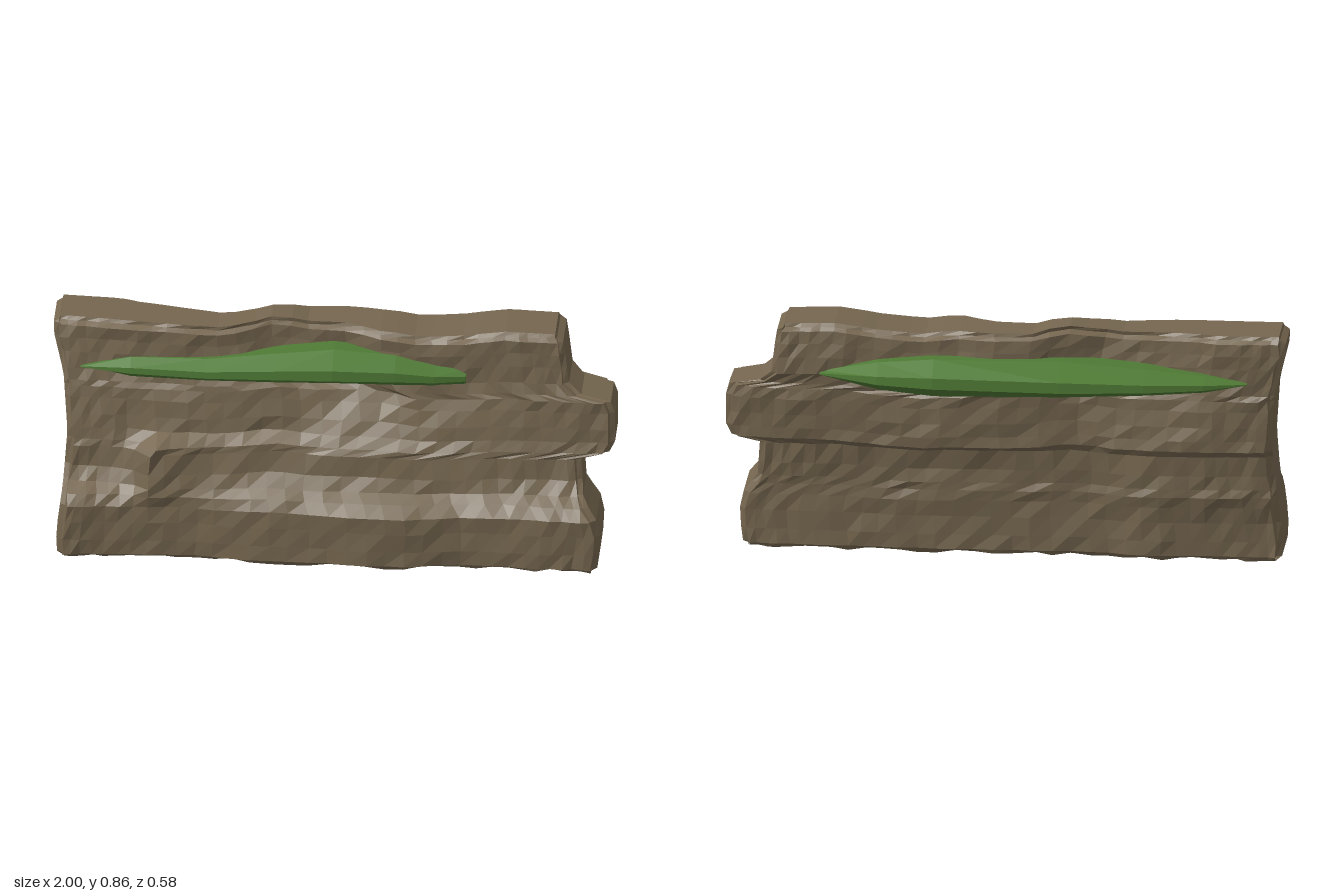
import * as THREE from 'three';

const rock = new THREE.MeshStandardMaterial({ color: 0x75664f, flatShading: true });
rock.name = 'brown rock';
const moss = new THREE.MeshStandardMaterial({ color: 0x4f7a35, flatShading: true });
moss.name = 'green grass';

// Depth of the rock face per height, at these stations from end to end
const STATIONS = [-1, -.74, -.67, -.5, -.3, -.15, 0, .17, .28, .5, .75, 1];
const FRONT = [
  [0.00, [.225, .21, .21, .205, .24, .25, .255, .28, .275, .24, .265, .27]],
  [0.21, [.235, .215, .215, .21, .245, .255, .26, .29, .28, .25, .27, .285]],
  [0.25, [.21, .20, .225, .21, .22, .23, .23, .25, .24, .22, .23, .255]],
  [0.28, [.15, .17, .225, .20, .19, .20, .20, .20, .20, .19, .20, .21]],
  [0.33, [.13, .15, .225, .19, .17, .16, .17, .18, .18, .18, .18, .175]],
  [0.43, [.13, .13, .225, .17, .15, .14, .16, .17, .17, .17, .17, .16]],
  [0.47, [.125, .115, .14, .13, .11, .11, .13, .14, .15, .16, .16, .16]],
  [0.62, [.10, .10, .105, .11, .10, .07, .05, .06, .11, .13, .15, .16]],
  [0.66, [.085, .08, .08, .09, .085, .04, .02, .03, .10, .115, .13, .135]],
  [0.86, [.05, .075, .08, .09, .085, .03, .015, .03, .105, .12, .13, .13]],
];
const BACK = [
  [0.00, [-.09, -.09, -.09, -.10, -.06, -.06, -.06, -.06, -.06, -.05, -.04, -.035]],
  [0.18, [-.09, -.10, -.10, -.11, -.07, -.07, -.07, -.07, -.07, -.06, -.05, -.04]],
  [0.23, [-.11, -.125, -.125, -.12, -.08, -.075, -.075, -.075, -.07, -.06, -.05, -.045]],
  [0.40, [-.12, -.13, -.13, -.12, -.085, -.085, -.08, -.08, -.075, -.07, -.07, -.06]],
  [0.43, [-.16, -.16, -.16, -.13, -.10, -.13, -.145, -.155, -.14, -.12, -.10, -.07]],
  [0.62, [-.17, -.17, -.15, -.12, -.09, -.13, -.15, -.165, -.15, -.13, -.13, -.08]],
  [0.68, [-.175, -.165, -.145, -.115, -.08, -.12, -.155, -.17, -.15, -.14, -.14, -.135]],
  [0.86, [-.19, -.18, -.15, -.115, -.08, -.11, -.158, -.17, -.15, -.14, -.14, -.135]],
];
// Ends as [height, x], and top edge as [x, height]
const LEFT_END = [[0, -.975], [.1, -.98], [.25, -.96], [.45, -.945], [.65, -.96], [.75, -.985], [.81, -1], [.86, -.995]];
const RIGHT_END = [[0, .94], [.08, .95], [.18, .955], [.23, .93], [.27, .89], [.41, .88], [.43, .98],
  [.46, 1], [.58, 1], [.62, .985], [.64, .88], [.68, .835], [.8, .82], [.86, .81]];
const TOP = [[-1, .86], [-.6, .85], [-.4, .84], [-.2, .868], [-.1, .845], [.2, .845],
  [.3, .83], [.45, .84], [.6, .862], [.8, .855]];
const ROWS = [0, .025, .08, .15, .21, .25, .28, .33, .405, .43, .47, .52, .58, .62, .64, .68, .74, .79, .835, .86];
const LAYERS = [0, .1, .5, .9, 1];

// Straight-line interpolation in a list of [key, value]
function lerpTable(table, t) {
  if (t <= table[0][0]) return table[0][1];
  for (let i = 1; i < table.length; i++) {
    const [a, va] = table[i - 1], [b, vb] = table[i];
    if (t <= b) return va + (vb - va) * (t - a) / (b - a);
  }
  return table[table.length - 1][1];
}

function faceDepth(table, u, y) {
  return lerpTable(table.map(([h, d]) => [h, lerpTable(STATIONS.map((s, i) => [s, d[i]]), u)]), y);
}

// Repeatable roughness from a grid position, -1 to 1
function rough(a, b, c) {
  const s = Math.sin(a * 127.1 + b * 311.7 + c * 74.7) * 43758.5453;
  return 2 * (s - Math.floor(s)) - 1;
}

function makeWall() {
  const n = ROWS.length - 1, columns = 36;
  const geometry = new THREE.BoxGeometry(2, 1, 1, columns, n, 4);
  const p = geometry.attributes.position;
  for (let k = 0; k < p.count; k++) {
    const i = Math.round((p.getX(k) + 1) / 2 * columns);
    const j = Math.round((p.getY(k) + 0.5) * n);
    const l = Math.round((p.getZ(k) + 0.5) * 4);
    const endX = i === 0 ? -1 : i === columns ? 1 : 0;
    const endY = j === 0 ? -1 : j === n ? 1 : 0;
    const endZ = l === 0 ? -1 : l === 4 ? 1 : 0;

    // Columns close up towards both ends
    let u = i / columns * 2 - 1;
    u += 0.3 * u * (1 - u * u);
    let y = ROWS[j];
    const xl = lerpTable(LEFT_END, y), xr = lerpTable(RIGHT_END, y);
    let x = xl + (xr - xl) * (u + 1) / 2;
    const zf = faceDepth(FRONT, u, y), zb = faceDepth(BACK, u, y);
    let z = zb + (zf - zb) * LAYERS[l];

    // Uneven top and underside, then rough faces
    y *= lerpTable(TOP, x) / 0.86;
    if (endY < 0) y = Math.max(0, 0.006 + 0.008 * rough(i, 2, l));
    if (!endX) x += 0.006 * rough(i, j, 1);
    z += 0.006 * rough(i, j, l) * Math.abs(endZ);

    // Worn edges
    const round = 0.018;
    if (endX && (endY || endZ)) x -= endX * round;
    if (endY && (endX || endZ)) y -= endY * round * 0.7;
    if (endZ && (endX || endY)) z -= endZ * round;
    p.setXYZ(k, x, y, z);
  }
  geometry.computeVertexNormals();
  const mesh = new THREE.Mesh(geometry, rock);
  mesh.name = 'rockWall';
  return mesh;
}

// Grass ledge: stations of [x, rim z, low y, high y], with its inner side in the rock
function makeGrass(name, stations, side, inner) {
  const positions = [], index = [], m = 6;
  for (const [x, z, low, high] of stations) {
    const root = lerpTable(inner, x), mid = (low + high) / 2;
    const zm = root + (z - root) * 0.55, rim = (high - low) * 0.15;
    positions.push(
      x, low, root, x, low, zm, x, mid - rim, z,
      x, mid + rim, z, x, high, zm, x, high, root);
  }
  const quad = (a, b, c, d) => (side > 0 ? index.push(a, b, c, a, c, d) : index.push(a, c, b, a, d, c));
  for (let s = 0; s < stations.length - 1; s++)
    for (let k = 0; k < m; k++) {
      const a = s * m + k, b = s * m + (k + 1) % m;
      quad(a, a + m, b + m, b);
    }
  const last = (stations.length - 1) * m;
  for (let k = 1; k < m - 1; k++) {
    const first = [0, k, k + 1], end = [last, last + k + 1, last + k];
    for (const t of [first, end]) index.push(...(side > 0 ? t : [t[0], t[2], t[1]]));
  }
  const geometry = new THREE.BufferGeometry();
  geometry.setAttribute('position', new THREE.Float32BufferAttribute(positions, 3));
  geometry.setIndex(index);
  geometry.computeVertexNormals();
  const mesh = new THREE.Mesh(geometry, moss);
  mesh.name = name;
  return mesh;
}

export function createModel() {
  const group = new THREE.Group();
  group.name = 'rockWallWithGrass';
  group.add(makeWall());
  group.add(makeGrass('frontGrass', [
    [-.90, .09, .683, .692], [-.72, .13, .655, .728], [-.45, .165, .653, .735], [-.2, .182, .65, .76],
    [0, .198, .65, .778], [.22, .185, .652, .765], [.36, .165, .655, .735], [.47, .135, .66, .72],
  ], 1, [[-.9, .03], [-.4, .04], [0, -.02], [.25, .02], [.47, .08]]));
  group.add(makeGrass('backGrass', [
    [-.86, -.186, .68, .69], [-.71, -.24, .655, .715], [-.5, -.28, .64, .735], [-.2, -.298, .625, .755],
    [.25, -.285, .625, .76], [.45, -.25, .64, .74], [.66, -.148, .675, .69],
  ], -1, [[-.86, -.15], [-.4, -.06], [-.2, -.04], [0, -.1], [.66, -.1]]));
  return group;
}
